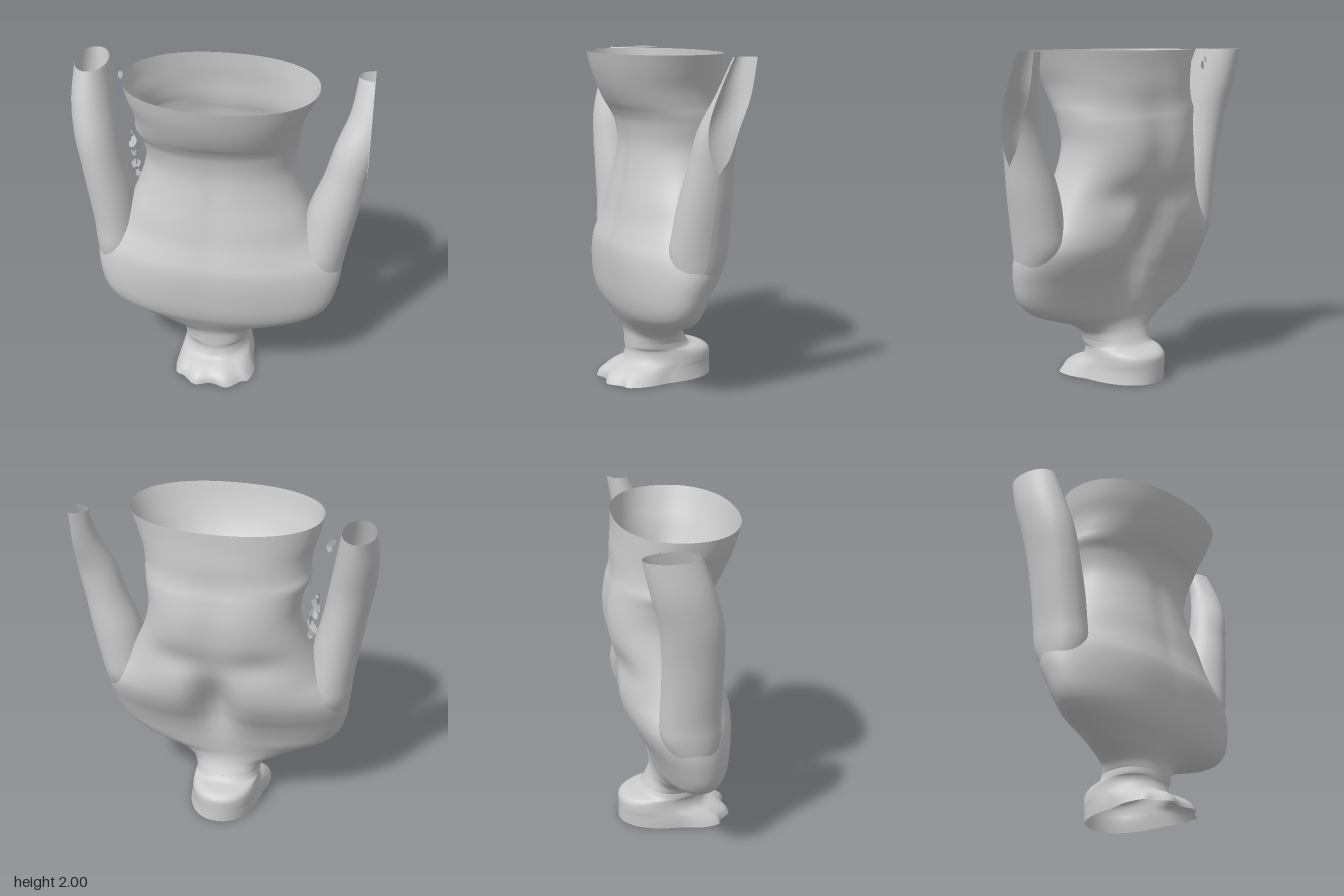
import * as THREE from 'three';

const material = new THREE.MeshStandardMaterial({ color: 0xcccccc, side: THREE.DoubleSide });
const gauss = (v, c, w) => Math.exp(-(((v - c) / w) ** 2));

// Catmull-Rom resampling of section rows
function sample(rows, t) {
  const i = Math.min(Math.floor(t), rows.length - 2), f = t - i;
  const at = (k) => rows[Math.max(0, Math.min(rows.length - 1, k))];
  return rows[i].map((_, c) => {
    const [a, b, d, e] = [at(i - 1)[c], at(i)[c], at(i + 1)[c], at(i + 2)[c]];
    return b + 0.5 * f * (d - a + f * (2 * a - 5 * b + 4 * d - e + f * (3 * (b - d) + e - a)));
  });
}

// Open shell through rows [y, xMin, xMax, zBack, zFront, squareness], cut off at x = clip
function loft(name, rows, { segs = 64, sub = 5, shape = null, clip = Infinity } = {}) {
  const pos = [], idx = [], n = (rows.length - 1) * sub;
  const closed = clip === Infinity, cols = closed ? segs : segs + 1;
  for (let i = 0; i <= n; i++) {
    const [y, x0, x1, z0, z1, p = 2] = sample(rows, i / sub);
    const cx = (x0 + x1) / 2, rx = (x1 - x0) / 2, cz = (z0 + z1) / 2, rz = (z1 - z0) / 2;
    const start = closed ? 0 : Math.acos(Math.min(1, (clip - cx) / rx));
    for (let j = 0; j < cols; j++) {
      const a = start + (j / segs) * (2 * Math.PI - 2 * start);
      const pow = (v) => Math.sign(v) * Math.abs(v) ** (2 / p);
      const v = new THREE.Vector3(cx + rx * pow(Math.cos(a)), y, cz + rz * pow(Math.sin(a)));
      if (shape) shape(v, a);
      pos.push(v.x, v.y, v.z);
    }
  }
  for (let i = 0; i < n; i++) {
    for (let j = 0; j < segs; j++) {
      const a = i * cols + j, b = i * cols + ((j + 1) % cols), c = a + cols, d = b + cols;
      idx.push(a, c, b, b, c, d);
    }
  }
  const geo = new THREE.BufferGeometry();
  geo.setAttribute('position', new THREE.Float32BufferAttribute(pos, 3));
  geo.setIndex(idx);
  geo.computeVertexNormals();
  const mesh = new THREE.Mesh(geo, material);
  mesh.name = name;
  return mesh;
}

// Spine furrow, shoulder-blade hollows and soft chest relief
function torsoRelief(v, a) {
  const s = Math.sin(a), { x, y } = v;
  if (s < 0) {
    const back = Math.min(1, -s * 1.6);
    v.z += back * gauss(x, 0.03, 0.12) * (0.14 * gauss(y, 0.84, 0.24) + 0.025 * gauss(y, 1.4, 0.3));
    v.z += back * 0.025 * gauss(Math.abs(x), 0.25, 0.16) * gauss(y, 1.17, 0.1);
  } else {
    v.z -= s * 0.012 * gauss(x, 0, 0.07) * gauss(y, 1.2, 0.4);
    v.z += s * 0.008 * gauss(Math.abs(x), 0.28, 0.15) * gauss(y, 0.85, 0.25);
  }
}

// Torn collar: ripples in the flared front of the neck end
function collarRipple(v, a) {
  const front = Math.max(0, Math.sin(a)), low = Math.max(0, 1 - v.y / 0.13);
  v.z += front * low * 0.02 * (Math.sin(a * 11) - 1);
  v.x += front * low * 0.12 * Math.cos(a);
}

// Small torn scraps along a line
function scraps(name, from, to, count) {
  const group = new THREE.Group();
  group.name = name;
  for (let i = 0; i < count; i++) {
    const size = 0.018 + 0.012 * Math.sin(i * 2.7);
    const scrap = new THREE.Mesh(new THREE.CircleGeometry(size, 5), material);
    scrap.name = 'scrap';
    scrap.position.lerpVectors(from, to, i / (count - 1));
    scrap.position.x += 0.012 * Math.sin(i * 4.1);
    scrap.scale.y = 1.7;
    scrap.rotation.set(0.3 * Math.sin(i), i * 0.9, i * 1.3);
    group.add(scrap);
  }
  return group;
}

export function createModel() {
  const model = new THREE.Group();
  model.name = 'invertedTorso';

  // Hollow trunk, from the neck up through the shoulders to the flared waist
  model.add(loft('torso', [
    [0.24, -0.205, 0.205, -0.17, 0.2, 2.3],
    [0.3, -0.25, 0.24, -0.14, 0.205, 2.2],
    [0.36, -0.38, 0.36, -0.13, 0.235, 2.1],
    [0.42, -0.51, 0.55, -0.14, 0.27, 2.1],
    [0.48, -0.64, 0.66, -0.155, 0.3, 2.1],
    [0.56, -0.705, 0.72, -0.18, 0.32, 2.1],
    [0.66, -0.737, 0.752, -0.225, 0.33, 2.1],
    [0.76, -0.753, 0.77, -0.285, 0.335, 2.05],
    [0.85, -0.745, 0.76, -0.33, 0.33, 2],
    [0.93, -0.69, 0.7, -0.355, 0.31, 2],
    [1.02, -0.61, 0.62, -0.365, 0.285, 2.1],
    [1.15, -0.545, 0.55, -0.37, 0.26, 2.2],
    [1.3, -0.485, 0.485, -0.4, 0.23, 2.2],
    [1.45, -0.45, 0.455, -0.41, 0.21, 2.2],
    [1.58, -0.47, 0.47, -0.39, 0.225, 2.2],
    [1.65, -0.5, 0.48, -0.37, 0.255, 2.2],
    [1.71, -0.495, 0.485, -0.36, 0.295, 2.2],
    [1.8, -0.5, 0.505, -0.355, 0.34, 2.2],
    [1.9, -0.53, 0.545, -0.345, 0.375, 2.2],
    [2.0, -0.55, 0.585, -0.34, 0.4, 2.2],
  ], { segs: 96, sub: 5, shape: torsoRelief }));

  // Neck with the bulge behind and the torn collar in front
  model.add(loft('neck', [
    [0, -0.22, 0.235, -0.335, 0.38, 2.2],
    [0.04, -0.22, 0.225, -0.335, 0.36, 2.2],
    [0.08, -0.215, 0.215, -0.335, 0.3, 2.2],
    [0.11, -0.21, 0.21, -0.335, 0.225, 2.2],
    [0.16, -0.205, 0.205, -0.33, 0.2, 2.2],
    [0.19, -0.205, 0.2, -0.28, 0.2, 2.2],
    [0.205, -0.205, 0.2, -0.2, 0.2, 2.3],
    [0.24, -0.205, 0.205, -0.17, 0.2, 2.3],
  ], { segs: 72, sub: 3, shape: collarRipple }));

  // Right arm, growing out of the shoulder and open at its end
  model.add(loft('rightArm', [
    [0.68, -0.72, -0.5, -0.07, 0.13],
    [0.78, -0.75, -0.49, -0.13, 0.165],
    [0.88, -0.765, -0.49, -0.175, 0.18],
    [1.0, -0.775, -0.5, -0.18, 0.175],
    [1.2, -0.805, -0.525, -0.175, 0.175],
    [1.4, -0.835, -0.57, -0.18, 0.175],
    [1.6, -0.87, -0.605, -0.2, 0.16],
    [1.8, -0.887, -0.64, -0.25, 0.105],
    [2.0, -0.87, -0.675, -0.295, 0.03],
  ], { segs: 40 }));

  // Left arm, cut away along its outer side
  model.add(loft('leftArm', [
    [0.68, 0.5, 0.735, -0.07, 0.13],
    [0.78, 0.49, 0.768, -0.13, 0.155],
    [0.88, 0.49, 0.787, -0.175, 0.165],
    [1.0, 0.51, 0.81, -0.18, 0.155],
    [1.2, 0.55, 0.85, -0.175, 0.13],
    [1.4, 0.625, 0.882, -0.16, 0.095],
    [1.6, 0.68, 0.93, -0.165, 0.06],
    [1.8, 0.755, 0.985, -0.215, -0.02],
    [2.0, 0.785, 1.02, -0.25, -0.11],
  ], { segs: 40, clip: 0.88 }));

  // Torn scraps between the right arm and the trunk
  const v = (x, y, z) => new THREE.Vector3(x, y, z);
  model.add(scraps('lowerScraps', v(-0.51, 1.28, -0.07), v(-0.545, 1.55, -0.09), 14));
  model.add(scraps('upperScraps', v(-0.61, 1.9, -0.15), v(-0.62, 1.97, -0.17), 3));
  return model;
}
